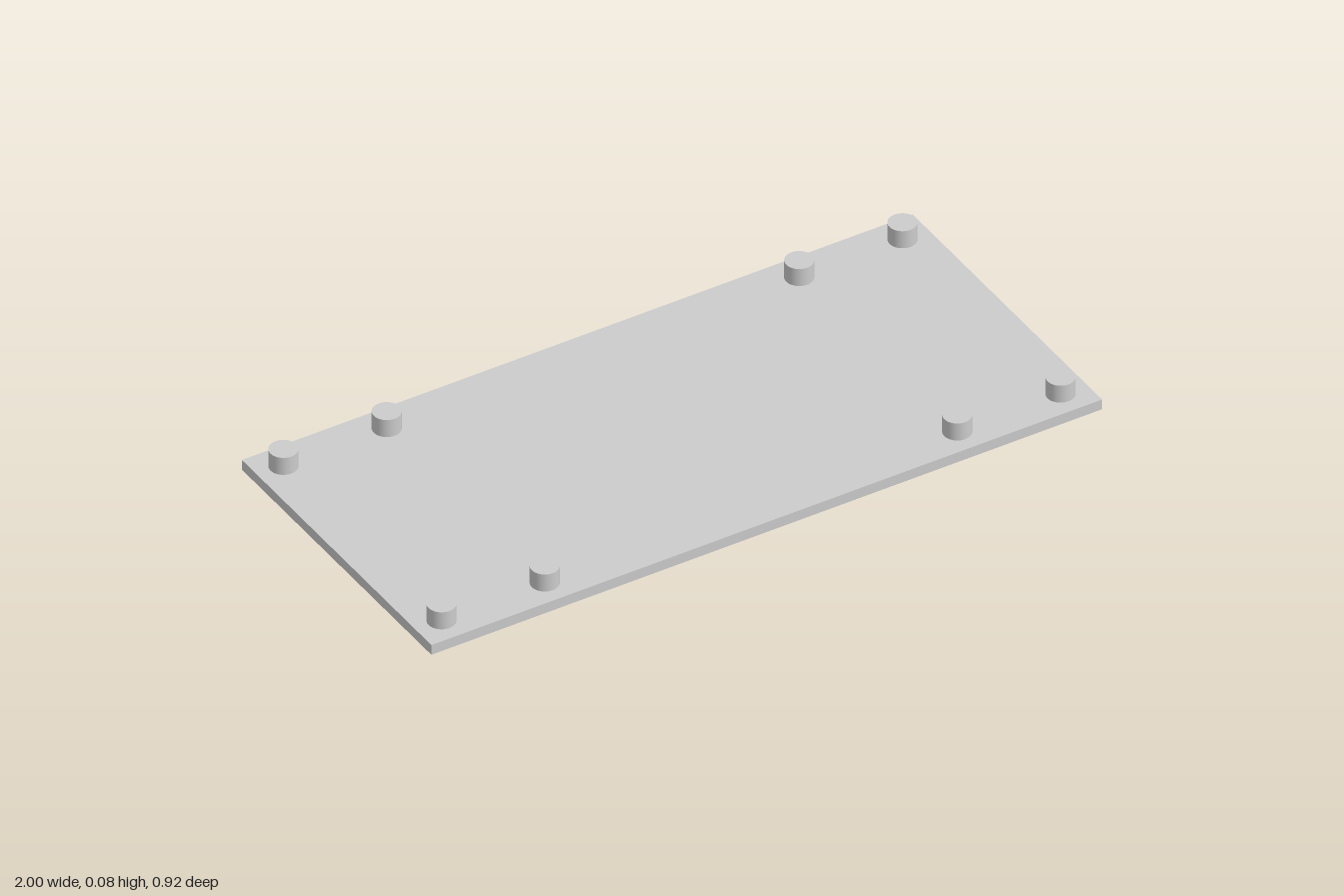
import * as THREE from 'three';

const PLATE = { width: 2, height: 0.0308, depth: 0.923 };
const PEG = { radius: 0.0385, top: 0.0846 };

export function createModel() {
  const model = new THREE.Group();
  model.name = 'peggedPlate';
  const material = new THREE.MeshStandardMaterial({ color: 0xcccccc });

  // Flat base plate
  const plate = new THREE.Mesh(new THREE.BoxGeometry(PLATE.width, PLATE.height, PLATE.depth), material);
  plate.name = 'basePlate';
  plate.position.y = PLATE.height / 2;
  model.add(plate);

  // Round pegs: an outer and an inner pair along each long edge
  const pegHeight = PEG.top - PLATE.height;
  const pegGeometry = new THREE.CylinderGeometry(PEG.radius, PEG.radius, pegHeight, 48);
  for (const [pair, offset] of [['outer', 0.923], ['inner', 0.615]]) {
    for (const [side, sx] of [['Left', 1], ['Right', -1]]) {
      for (const [end, sz] of [['Front', 1], ['Back', -1]]) {
        const peg = new THREE.Mesh(pegGeometry, material);
        peg.name = `${pair}${end}${side}Peg`;
        peg.position.set(sx * offset, PLATE.height + pegHeight / 2, sz * 0.385);
        model.add(peg);
      }
    }
  }
  return model;
}
